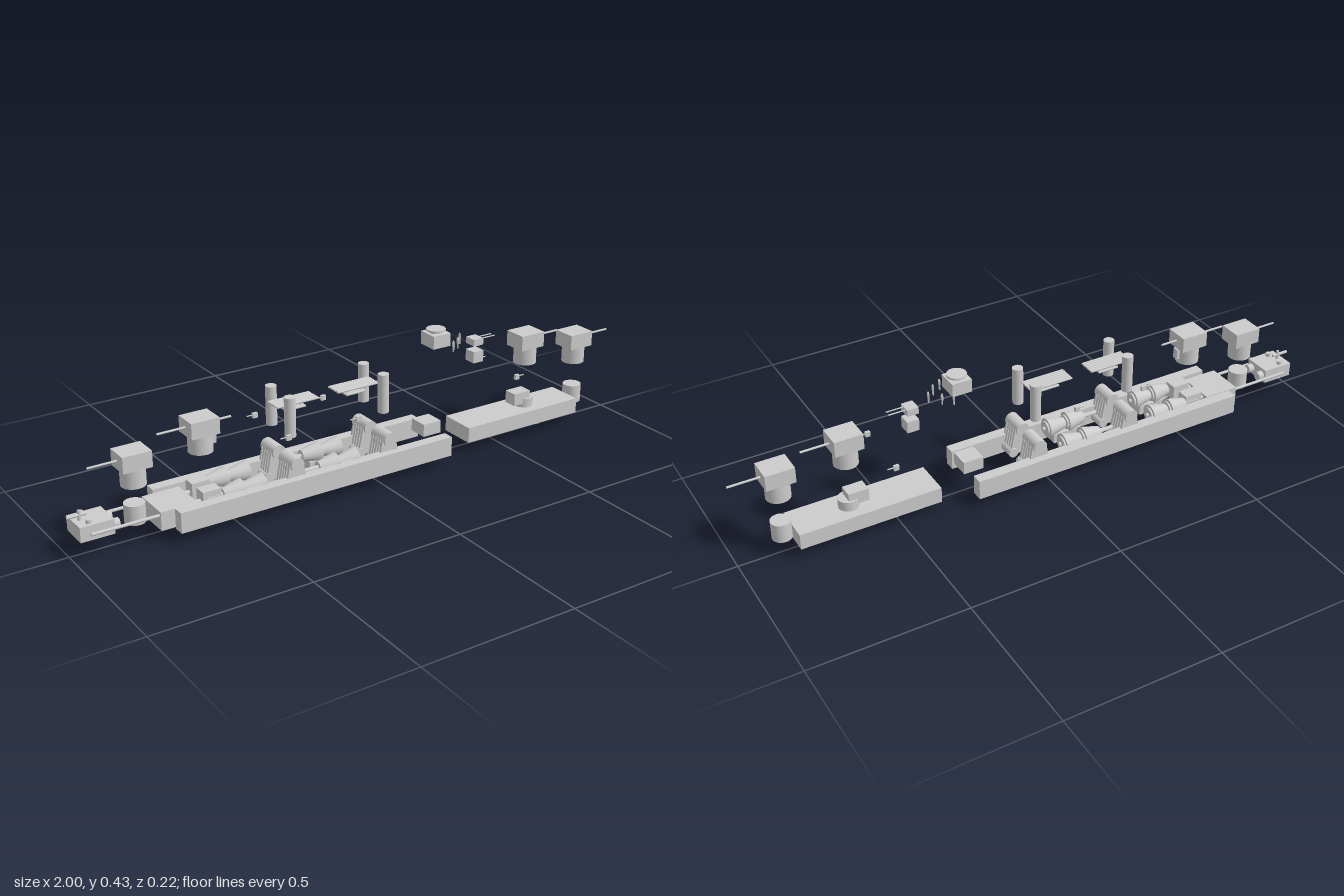
import * as THREE from 'three';

const mat = new THREE.MeshStandardMaterial({ color: 0xcccccc });

export function createModel() {
  const root = new THREE.Group();

  function add(name, geo, x, y, z, parent = root) {
    const m = new THREE.Mesh(geo, mat);
    m.name = name;
    m.position.set(x, y, z);
    parent.add(m);
    return m;
  }
  // Box given by its extents, centred on z
  function box(name, x0, x1, y0, y1, depth, z = 0, parent = root) {
    return add(name, new THREE.BoxGeometry(x1 - x0, y1 - y0, depth), (x0 + x1) / 2, (y0 + y1) / 2, z, parent);
  }
  // Upright cylinder
  function drum(name, x, y0, y1, r, z = 0, parent = root) {
    return add(name, new THREE.CylinderGeometry(r, r, y1 - y0, 32), x, (y0 + y1) / 2, z, parent);
  }
  // Round bar along x, radius r0 at x0 and r1 at x1
  function rod(name, x0, x1, y, z, r0, r1 = r0, parent = root) {
    const m = add(name, new THREE.CylinderGeometry(r0, r1, x1 - x0, 24), (x0 + x1) / 2, y, z, parent);
    m.rotation.z = Math.PI / 2;
    return m;
  }
  // Round bar along z
  function crossRod(name, x, y, z, r, len, parent = root) {
    const m = add(name, new THREE.CylinderGeometry(r, r, len, 24), x, y, z, parent);
    m.rotation.x = Math.PI / 2;
    return m;
  }
  function group(name, x = 0, y = 0, z = 0) {
    const g = new THREE.Group();
    g.name = name;
    g.position.set(x, y, z);
    root.add(g);
    return g;
  }

  // Armour belts and magazine blocks
  for (const s of [1, -1]) box('sideBelt', -0.70, 0.26, 0.035, 0.10, 0.037, s * 0.0915);
  box('foreMagazine', -0.74, -0.62, 0.035, 0.094, 0.125);
  box('aftMagazine', 0.365, 0.825, 0.035, 0.087, 0.125);
  box('controlRoom', 0.205, 0.272, 0.085, 0.127, 0.066);

  // Main turrets: house, barbette and barrel
  for (const [x, y, dir] of [[-0.79, 0.23, -1], [-0.573, 0.28, -1], [0.64, 0.298, 1], [0.854, 0.257, 1]]) {
    const g = group('mainTurret', x, y, 0);
    box('turretHouse', -0.046, 0.046, 0, 0.051, 0.079, 0, g);
    drum('barbette', 0, -0.057, 0, 0.038, 0, g);
    const tip = y === 0.257 ? 0.146 : 0.136;
    if (dir < 0) rod('barrel', -tip, -0.04, 0.027, 0, 0.0035, 0.0035, g);
    else rod('barrel', 0.04, tip, 0.027, 0, 0.0035, 0.0035, g);
  }
  rod('rearBarrel', -0.53, -0.47, 0.307, 0, 0.0035);
  box('barbetteHoist', -0.545, -0.525, 0.24, 0.276, 0.02);

  // Lower barbettes
  drum('foreBarbette', -0.792, 0.056, 0.116, 0.032);
  drum('aftBarbette', 0.857, 0.054, 0.115, 0.031);

  // Steering or capstan house at the far end with its rails
  box('endHouse', -0.98, -0.875, 0.06, 0.107, 0.095);
  for (const s of [1, -1]) {
    rod('rail', -0.95, -0.73, 0.08, s * 0.052, 0.005);
    rod('motor', -0.89, -0.855, 0.082, s * 0.027, 0.015);
    drum('capstan', -0.945, 0.107, 0.118, 0.009, s * 0.03);
  }
  drum('post', -0.96, 0.107, 0.138, 0.005);
  rod('postArm', -0.998, -0.94, 0.123, 0, 0.005);

  // Aft deck machinery and the dome below
  drum('aftPedestal', 0.643, 0.085, 0.118, 0.032);
  box('aftHouse', 0.585, 0.65, 0.10, 0.142, 0.047);
  add('keelDome', new THREE.SphereGeometry(0.0235, 32, 20), 0.70, 0.0235, 0);

  // Boilers: one upper drum, two lower drums, sloping tube banks between
  for (const x of [-0.30, 0.035]) for (const s of [1, -1]) {
    const g = group('boiler', x, 0, s * 0.055);
    crossRod('steamDrum', 0, 0.14, 0, 0.0225, 0.076, g);
    for (const t of [1, -1]) {
      crossRod('waterDrum', t * 0.032, 0.06, 0, 0.016, 0.07, g);
      for (let i = 0; i < 5; i++) {
        const tube = box('tubeBank', -0.006, 0.006, -0.042, 0.042, 0.008, -0.026 + i * 0.013, g);
        tube.position.set(t * 0.026, 0.1, -0.026 + i * 0.013);
        tube.rotation.z = t * 0.2;
      }
    }
    box('furnace', -0.025, 0.025, 0.05, 0.13, 0.058, 0, g);
  }

  // Tapered turbines with gearboxes and condensers
  for (const x of [-0.535, -0.205]) for (const s of [1, -1]) {
    const g = group('turbineSet', x, 0, s * 0.05);
    for (const dx of [0, 0.072]) {
      rod('turbine', dx, dx + 0.064, 0.092, 0, 0.018, 0.033, g);
      rod('turbineFlange', dx + 0.062, dx + 0.07, 0.092, 0, 0.024, 0.024, g);
    }
    rod('shaft', -0.05, 0.15, 0.092, 0, 0.007, 0.007, g);
    box('condenser', 0.02, 0.12, 0.04, 0.072, 0.045, 0, g);
  }
  for (const s of [1, -1]) {
    box('gearbox', -0.60, -0.54, 0.06, 0.115, 0.042, s * 0.035);
    rod('driveShaft', -0.64, -0.59, 0.08, s * 0.035, 0.008);
  }

  // Vertical uptakes
  for (const x of [-0.302, 0.032]) for (const s of [1, -1]) drum('uptake', x, 0.222, 0.348, 0.0175, s * 0.055);

  // Racks of parallel pipes between the uptakes
  for (const [x0, x1] of [[-0.33, -0.185], [-0.115, 0.033]]) {
    const g = group('pipeRack');
    for (let i = -3; i <= 3; i++) rod('pipe', x0, x1, 0.309, i * 0.009, 0.0035, 0.0035, g);
    const mid = (x0 + x1) / 2;
    for (const i of [-1, 0, 1]) rod('lowerPipe', mid - 0.035, mid + 0.035, 0.287, i * 0.012, 0.004, 0.004, g);
    for (const d of [-0.025, 0.025]) drum('riser', mid + d, 0.287, 0.309, 0.003, 0, g);
  }

  // Small secondary guns
  for (const [x, y, dir] of [[-0.335, 0.242, -1], [-0.09, 0.244, -1], [0.525, 0.244, 1]]) for (const s of [1, -1]) {
    const g = group('secondaryGun', x, y, s * 0.1);
    box('gunMount', -0.008, 0.008, -0.008, 0.008, 0.01, 0, g);
    rod('gunBarrel', dir > 0 ? 0 : -0.028, dir > 0 ? 0.028 : 0, 0.002, 0, 0.002, 0.002, g);
  }

  // Fire control tower with a thin round cap
  box('controlTower', 0.237, 0.302, 0.377, 0.42, 0.069);
  drum('towerNeck', 0.27, 0.419, 0.427, 0.022);
  drum('towerCap', 0.27, 0.426, 0.432, 0.031);

  // Crew figures
  for (const [x, z] of [[0.365, 0], [0.335, 0.03], [0.335, -0.03], [0.305, 0.047], [0.305, -0.047]]) {
    const g = group('crewFigure', x, 0.36, z);
    add('head', new THREE.SphereGeometry(0.0028, 12, 8), 0, 0.035, 0, g);
    box('torso', -0.0025, 0.0025, 0.017, 0.031, 0.007, 0, g);
    for (const s of [1, -1]) {
      drum('leg', 0, 0, 0.018, 0.0016, s * 0.002, g);
      drum('arm', 0, 0.018, 0.031, 0.0014, s * 0.005, g);
    }
  }

  // Twin light mount over its ammunition room
  box('lightMount', 0.408, 0.445, 0.348, 0.37, 0.043);
  for (const s of [1, -1]) rod('lightBarrel', 0.44, 0.50, 0.365, s * 0.009, 0.002);
  box('lightMagazine', 0.408, 0.447, 0.29, 0.328, 0.042);

  return root;
}
